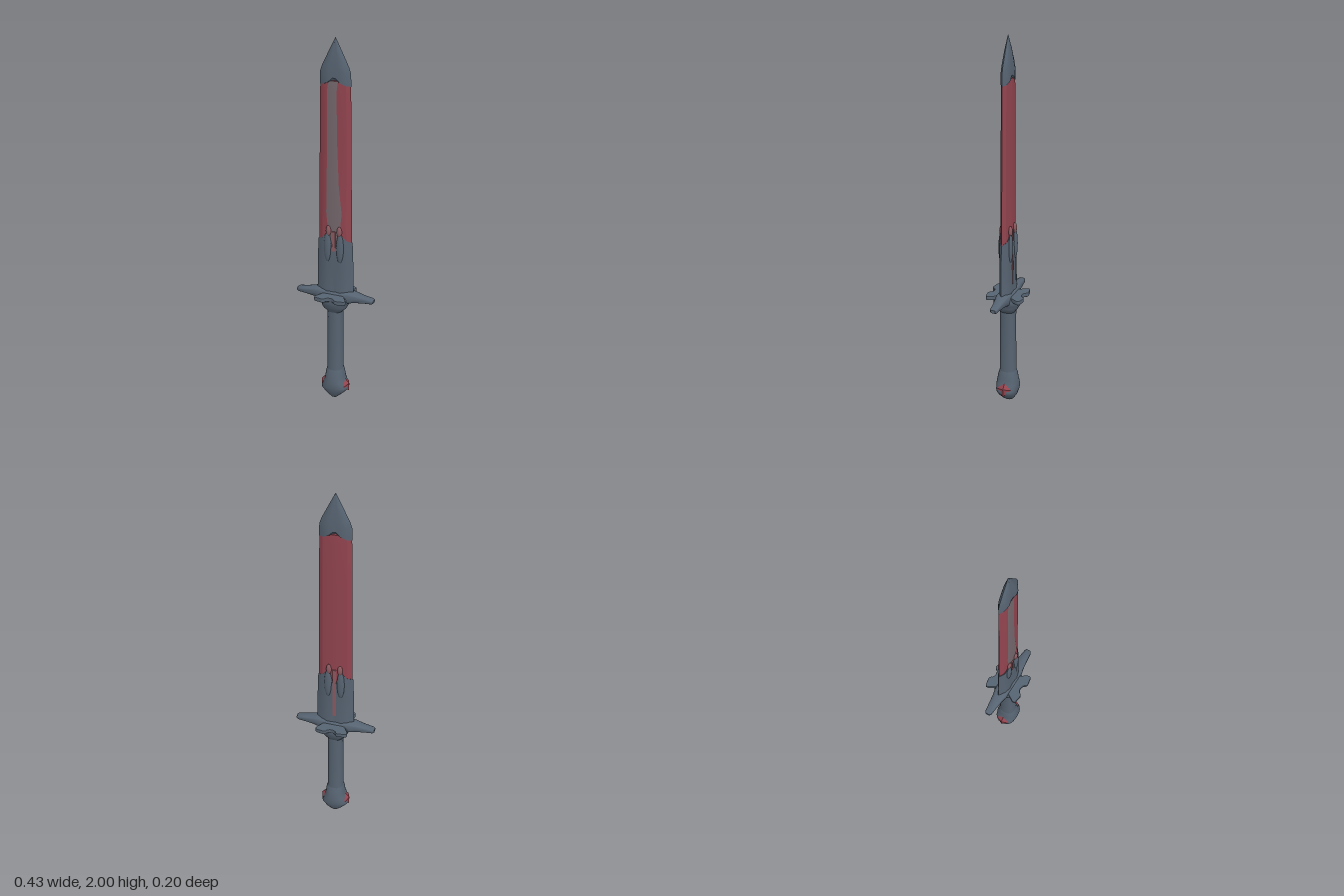
import * as THREE from 'three';
import { toCreasedNormals } from 'three/addons/utils/BufferGeometryUtils.js';

const mat = (name, color) => new THREE.MeshStandardMaterial({ name, color });

// Skin a stack of rings (listed bottom to top, each running +x, +z, -x, -z) and cap both ends.
// pick(column) chooses the material index of each column.
function loft(rings, crease = 0.6, pick = () => 0) {
  const lists = [[], [], []];
  const n = rings[0].length;
  for (let r = 0; r < rings.length - 1; r++) {
    for (let i = 0; i < n; i++) {
      const j = (i + 1) % n;
      const a = rings[r][i], b = rings[r][j], c = rings[r + 1][j], d = rings[r + 1][i];
      lists[pick(i)].push(a, d, c, a, c, b);
    }
  }
  const cap = (ring, flip) => {
    const mid = [0, 1, 2].map(k => ring.reduce((s, p) => s + p[k], 0) / n);
    ring.forEach((p, i) => {
      const q = ring[(i + 1) % n];
      lists[0].push(mid, ...(flip ? [q, p] : [p, q]));
    });
  };
  cap(rings[0], false);
  cap(rings[rings.length - 1], true);
  const geo = new THREE.BufferGeometry();
  let start = 0;
  lists.forEach((l, k) => {
    if (l.length) geo.addGroup(start, l.length, k);
    start += l.length;
  });
  geo.setAttribute('position', new THREE.Float32BufferAttribute(lists.flat(2), 3));
  return toCreasedNormals(geo, crease);
}

// Rounded box-like ring for handle parts and guard arms
function roundRing(y, hx, hz, cx = 0, power = 0.8, n = 20) {
  return Array.from({ length: n }, (_, i) => {
    const a = i / n * Math.PI * 2, c = Math.cos(a), s = Math.sin(a);
    return [cx + hx * Math.sign(c) * Math.abs(c) ** power, y, hz * Math.sign(s) * Math.abs(s) ** power];
  });
}

// Blade ring with a flat front band between l and r and a narrow ridge behind
const bladeRing = ([y, w, d, l, r]) => [
  [w, y, 0], [w * 0.75, y, d * 0.65], [r, y, d], [l, y, d], [-w * 0.75, y, d * 0.65],
  [-w, y, 0], [-w * 0.75, y, -d * 0.65], [-0.014, y, -d], [0.014, y, -d], [w * 0.75, y, -d * 0.65],
];

// Ring whose height steps across the width; lifts = [edge, shoulder, inner, centre]
const SIDE = [[1, 0], [0.72, 0.68], [0.36, 1], [0.1, 0.9]];
function steppedRing(y, w, d, lifts = [0, 0, 0, 0]) {
  const p = (k, sx, sz) => [SIDE[k][0] * w * sx, y + lifts[k], SIDE[k][1] * d * sz];
  return [
    ...[0, 1, 2, 3].map(k => p(k, 1, 1)), ...[3, 2, 1].map(k => p(k, -1, 1)),
    ...[0, 1, 2, 3].map(k => p(k, -1, -1)), ...[3, 2, 1].map(k => p(k, 1, -1)),
  ];
}

export function createModel() {
  const group = new THREE.Group();
  const slate = mat('slate metal', 0x566371);
  const red = mat('dark red', 0x92444f);
  const grey = mat('fuller grey', 0x75686d);
  const pink = mat('faded red', 0x8a5a60);

  const add = (name, geo, material, parent = group) => {
    const m = new THREE.Mesh(geo, material);
    m.name = name;
    parent.add(m);
    return m;
  };

  // Red blade with its grey front band
  const blade = [
    [0.86, 0.09, 0.024, -0.012, 0.012],
    [0.98, 0.09, 0.024, -0.03, 0.03],
    [1.1, 0.089, 0.023, -0.042, 0.042],
    [1.25, 0.087, 0.022, -0.04, 0.026],
    [1.5, 0.084, 0.022, -0.036, 0.016],
    [1.74, 0.081, 0.022, -0.036, 0.014],
    [1.79, 0.078, 0.02, -0.03, 0.02],
  ].map(bladeRing);
  add('blade', loft(blade, 0.35, i => (i === 2 ? 1 : 0)), [red, grey]);

  // Steel point
  add('bladeTip', loft([
    steppedRing(1.765, 0.082, 0.024, [0, 0.005, 0.02, 0.04]),
    steppedRing(1.83, 0.08, 0.023),
    steppedRing(1.86, 0.07, 0.021),
    steppedRing(1.93, 0.036, 0.014),
    steppedRing(2.0, 0.001, 0.001),
  ], 0.5), slate);

  // Notched sleeve around the base of the blade
  add('bladeSleeve', loft([
    steppedRing(0.62, 0.108, 0.034),
    steppedRing(0.67, 0.101, 0.031),
    steppedRing(0.8, 0.099, 0.029),
    steppedRing(0.88, 0.097, 0.031, [0, 0, 0.01, 0]),
    steppedRing(0.94, 0.094, 0.03, [0, 0.015, 0.055, -0.03]),
  ], 0.7), slate);

  // Raised ribs and centre inlays, front and back
  for (const sz of [1, -1]) {
    for (const sx of [1, -1]) {
      const rib = add('sleeveRib', new THREE.SphereGeometry(1, 12, 10), slate);
      rib.scale.set(0.02, 0.085, 0.012);
      rib.position.set(sx * 0.034, 0.91, sz * 0.026);
      const knob = add('ribTip', new THREE.SphereGeometry(1, 12, 8), pink);
      knob.scale.set(0.014, 0.03, 0.012);
      knob.position.set(sx * 0.03, 1.0, sz * 0.024);
    }
    const low = sz > 0 ? 0.89 : 0.7;
    const inlay = add('sleeveInlay', new THREE.BoxGeometry(0.018, 1.0 - low, 0.008), pink);
    inlay.position.set(0, (1.0 + low) / 2, sz * 0.026);
  }

  // Guard arms: [reach, half height, half depth, centre height]
  const arm = [
    [0, 0.034, 0.042, 0.625], [0.08, 0.033, 0.038, 0.632], [0.115, 0.026, 0.03, 0.632],
    [0.16, 0.018, 0.024, 0.629], [0.205, 0.014, 0.019, 0.627], [0.215, 0.008, 0.013, 0.627],
  ].map(([x, hy, hz, cy]) => roundRing(x, hy, hz, -cy, 0.6));
  const armGeo = loft(arm, 0.9).rotateZ(-Math.PI / 2);
  for (const turn of [0, Math.PI]) add('guardArm', armGeo, slate).rotation.y = turn;

  // Forked guard plates, front and back
  const fork = new THREE.Shape();
  fork.moveTo(-0.055, 0);
  fork.lineTo(-0.055, 0.035);
  fork.lineTo(-0.08, 0.075);
  fork.quadraticCurveTo(-0.087, 0.09, -0.072, 0.092);
  fork.lineTo(-0.04, 0.097);
  fork.quadraticCurveTo(-0.03, 0.097, -0.026, 0.085);
  fork.quadraticCurveTo(0, 0.064, 0.026, 0.085);
  fork.quadraticCurveTo(0.03, 0.097, 0.04, 0.097);
  fork.lineTo(0.072, 0.092);
  fork.quadraticCurveTo(0.087, 0.09, 0.08, 0.075);
  fork.lineTo(0.055, 0.035);
  fork.lineTo(0.055, 0);
  const forkGeo = new THREE.ExtrudeGeometry(fork, {
    depth: 0.012, bevelEnabled: true, bevelThickness: 0.006, bevelSize: 0.004, bevelSegments: 2, curveSegments: 6,
  }).rotateX(Math.PI / 2).translate(0, 0.637, 0);
  for (const turn of [0, Math.PI]) add('guardFork', forkGeo, slate).rotation.y = turn;

  // Collar under the guard: [height, half width, half depth]
  const stack = rows => loft(rows.map(([y, hx, hz]) => roundRing(y, hx, hz)), 0.9);
  add('collar', stack([
    [0.54, 0.042, 0.042], [0.56, 0.062, 0.055], [0.575, 0.07, 0.064], [0.59, 0.072, 0.068],
    [0.6, 0.08, 0.072], [0.625, 0.082, 0.072], [0.645, 0.075, 0.045],
  ]), slate);

  // Grip
  add('grip', stack([
    [0.14, 0.046, 0.046], [0.2, 0.042, 0.043], [0.35, 0.041, 0.042], [0.5, 0.04, 0.041], [0.57, 0.043, 0.043],
  ]), slate);

  // Pointed pommel
  add('pommel', stack([
    [0, 0.006, 0.012], [0.012, 0.02, 0.032], [0.04, 0.05, 0.05], [0.065, 0.074, 0.057], [0.08, 0.075, 0.06],
    [0.11, 0.06, 0.06], [0.14, 0.052, 0.055], [0.165, 0.05, 0.05], [0.19, 0.042, 0.043],
  ]), slate);

  // Red diamond gems on both sides of the pommel
  for (const sx of [1, -1]) {
    const gem = add('pommelGem', new THREE.OctahedronGeometry(1), red);
    gem.scale.set(0.018, 0.042, 0.04);
    gem.position.set(sx * 0.063, 0.092, 0);
    gem.rotation.z = sx * 0.35;
  }
  return group;
}
